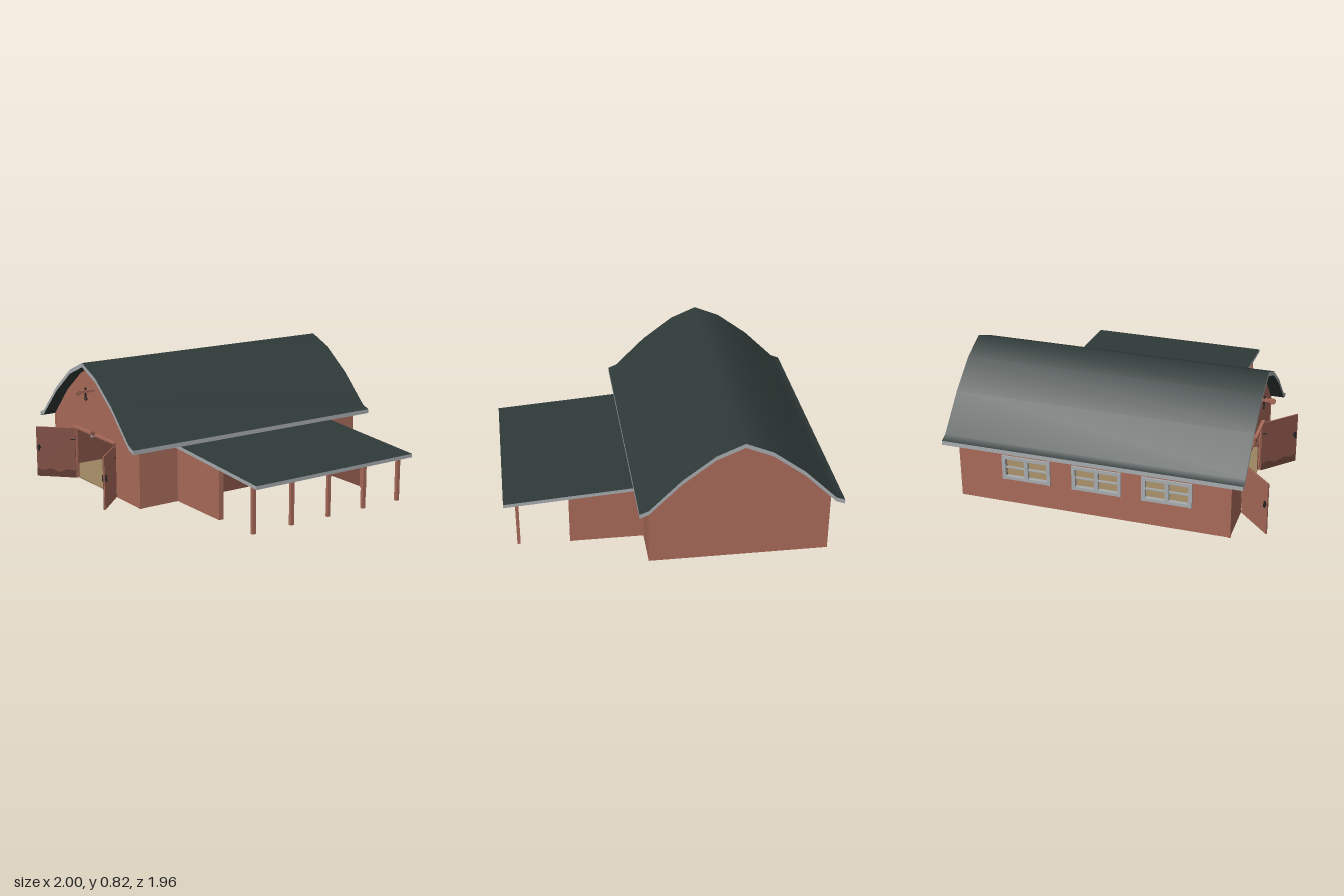
import * as THREE from 'three';

const mat = (name, color, side = THREE.FrontSide) => {
  const m = new THREE.MeshStandardMaterial({ color, side });
  m.name = name;
  return m;
};

export function createModel() {
  const paint = mat('red wall paint', 0xa86a59);
  const inside = mat('dark inner boards', 0x804f43);
  const roofMat = mat('dark roofing', 0x2f3a38, THREE.DoubleSide);
  const trim = mat('grey trim', 0xa6abae, THREE.DoubleSide);
  const straw = mat('straw floor', 0x9a8460);
  const dirt = mat('mud stain', 0x5e3b32, THREE.DoubleSide);
  const iron = mat('black iron', 0x242424);

  const model = new THREE.Group();
  model.name = 'barn';
  const CX = -0.387, FRONT = 0.78, BACK = -0.9, HALF = 0.545;
  const MIDZ = (FRONT + BACK) / 2, HALFZ = (FRONT - BACK) / 2;

  const add = (parent, name, geo, material, x = 0, y = 0, z = 0) => {
    const m = new THREE.Mesh(geo, material);
    m.name = name;
    m.position.set(x, y, z);
    parent.add(m);
    return m;
  };
  const box = (parent, name, material, w, h, d, x, y, z) =>
    add(parent, name, new THREE.BoxGeometry(w, h, d), material, x, y, z);
  const shapeOf = (pts) => new THREE.Shape(pts.map(([x, y]) => new THREE.Vector2(x, y)));

  // A wall facing local +z: painted outer skin and darker inner lining
  const wall = (name, pts, rotY, x, z, holes = []) => {
    const g = new THREE.Group();
    g.name = name;
    g.position.set(x, 0, z);
    g.rotation.y = rotY;
    const s = shapeOf(pts);
    holes.forEach((h) => s.holes.push(shapeOf(h)));
    const skin = (depth) => new THREE.ExtrudeGeometry(s, { depth, bevelEnabled: false });
    add(g, name + 'Outer', skin(0.01), paint, 0, 0, -0.01);
    add(g, name + 'Lining', skin(0.005), inside, 0, 0, -0.015).scale.x = 0.98;
    model.add(g);
    return g;
  };
  const rect = (x0, x1, y0, y1) => [[x0, y0], [x1, y0], [x1, y1], [x0, y1]];

  // Gable walls, the front one with a doorway
  const gableTop = [[HALF, 0], [HALF, 0.385], [0.36, 0.577], [0.165, 0.724], [0, 0.794],
    [-0.165, 0.724], [-0.36, 0.577], [-HALF, 0.385], [-HALF, 0]];
  const DOOR = 0.26;
  wall('frontGable', [...gableTop, [-DOOR, 0], [-DOOR, 0.345], [DOOR, 0.345], [DOOR, 0]], 0, CX, FRONT);
  wall('backGable', gableTop, Math.PI, CX, BACK);

  // Long side walls, with windows on the right-hand one
  const windows = [-0.41, 0.03, 0.46];
  const sideRect = rect(-HALFZ, HALFZ, 0, 0.385);
  const windowWall = wall('windowWall', sideRect, -Math.PI / 2, CX - HALF, MIDZ,
    windows.map((u) => rect(u - 0.14, u + 0.14, 0.175, 0.31)));
  wall('shedSideWall', sideRect, Math.PI / 2, CX + HALF, MIDZ);

  // Window frames and glazing bars
  windows.forEach((u) => {
    const g = new THREE.Group();
    g.name = 'window';
    g.position.set(u, 0.2425, 0);
    for (const s of [-1, 1]) {
      box(g, 'frameUpright', trim, 0.022, 0.16, 0.024, s * 0.141, 0, 0);
      box(g, 'frameRail', trim, 0.3, 0.02, 0.024, 0, s * 0.068, 0);
      box(g, 'glazingBar', trim, 0.126, 0.009, 0.012, s * 0.07, 0, -0.002);
    }
    box(g, 'centrePost', trim, 0.024, 0.13, 0.02, 0, 0, 0);
    windowWall.add(g);
  });

  box(model, 'floor', straw, 2 * HALF - 0.02, 0.008, 2 * HALFZ - 0.02, CX, 0.006, MIDZ);
  for (const s of [-1, 1]) {
    box(model, 'cornerBoard', paint, 0.018, 0.385, 0.018, CX + s * (HALF - 0.006), 0.1925, FRONT - 0.006);
  }

  // Roof slab: smooth top and underside, grey edges all round
  const roof = (name, pts, z0, z1, t) => {
    const g = new THREE.Group();
    g.name = name;
    const n = pts.length;
    const sheet = (list, drop) => {
      const geo = new THREE.PlaneGeometry(1, 1, n - 1, 1);
      const p = geo.attributes.position;
      for (let i = 0; i < p.count; i++) {
        const [x, y] = list[i % n];
        p.setXYZ(i, x, y - drop, i < n ? z0 : z1);
      }
      geo.computeVertexNormals();
      return geo;
    };
    const back = [...pts].reverse();
    add(g, name + 'Top', sheet(pts, 0), roofMat);
    add(g, name + 'Underside', sheet(back, t), roofMat);
    const edge = shapeOf([...pts, ...back.map(([x, y]) => [x, y - t])]);
    add(g, name + 'FrontEdge', new THREE.ShapeGeometry(edge), trim, 0, 0, z1);
    // turned about so that it faces backwards
    const rear = shapeOf([...pts, ...back.map(([x, y]) => [x, y - t])].map(([x, y]) => [-x, y]));
    add(g, name + 'BackEdge', new THREE.ShapeGeometry(rear), trim, 0, 0, z0).rotation.y = Math.PI;
    [[pts[0], -1], [pts[n - 1], 1]].forEach(([[x, y], s]) => {
      add(g, name + 'Eave', new THREE.PlaneGeometry(z1 - z0, t), trim, x, y - t / 2, (z0 + z1) / 2)
        .rotation.y = s * Math.PI / 2;
    });
    model.add(g);
  };
  const half = [[0.165, 0.752], [0.36, 0.605], [0.555, 0.412], [0.608, 0.392]];
  roof('mainRoof', [
    ...[...half].reverse().map(([x, y]) => [CX - x, y]), [CX, 0.822],
    ...half.map(([x, y]) => [CX + x, y]),
  ], -0.98, 0.86, 0.027);

  // Lean-to shed
  roof('shedRoof', [[0.16, 0.368], [1, 0.31]], -0.655, 0.525, 0.022);
  const endWall = (s) => [[-s * 0.225, 0], [s * 0.225, 0], [s * 0.225, 0.315], [-s * 0.225, 0.344]];
  wall('shedFrontWall', endWall(1), 0, 0.383, 0.51);
  wall('shedBackWall', endWall(-1), Math.PI, 0.383, -0.635);
  box(model, 'shedInnerBoards', inside, 0.006, 0.345, 1.12, CX + HALF + 0.003, 0.1725, -0.0625);
  box(model, 'shedBeam', paint, 0.024, 0.024, 1.13, 0.597, 0.304, -0.0625);
  for (const z of [0.495, -0.62]) {
    box(model, 'shedCornerPost', paint, 0.026, 0.31, 0.032, 0.596, 0.155, z);
  }
  for (let i = 0; i < 5; i++) {
    box(model, 'shedPost', paint, 0.02, 0.295, 0.024, 0.92, 0.1475, 0.487 - i * 0.275);
  }

  // Double doors, standing open
  for (const s of [-1, 1]) {
    const door = new THREE.Group();
    door.name = s > 0 ? 'leftDoor' : 'rightDoor';
    door.position.set(CX + s * DOOR, 0, FRONT + 0.006);
    door.rotation.y = -s * Math.PI / 4;
    box(door, 'doorOuterFace', paint, 0.265, 0.335, 0.005, s * 0.1325, 0.17, -0.0025);
    box(door, 'doorInnerFace', inside, 0.265, 0.335, 0.005, s * 0.1325, 0.17, 0.0025);
    const stain = [[0, 0.004], [0.264, 0.004], [0.264, 0.055], [0.22, 0.045], [0.17, 0.058],
      [0.11, 0.036], [0.06, 0.058], [0, 0.05]];
    add(door, 'mudStain', new THREE.ShapeGeometry(shapeOf(stain.map(([x, y]) => [s * x, y]))), dirt, 0, 0, 0.0065);
    box(door, 'doorHandle', iron, 0.01, 0.04, 0.03, s * 0.247, 0.197, 0);
    box(door, 'doorLatch', iron, 0.026, 0.014, 0.014, s * 0.247, 0.2, 0);
    box(door, 'hinge', iron, 0.03, 0.006, 0.014, s * 0.015, 0.262, 0);
    model.add(door);
  }
  box(model, 'doorHeader', paint, 2 * DOOR + 0.02, 0.012, 0.02, CX, 0.351, FRONT + 0.01);
  box(model, 'doorStop', inside, 0.035, 0.02, 0.012, CX, 0.358, FRONT + 0.018);

  // Hay hoist: beam, rope block and hook
  box(model, 'hoistBeam', paint, 0.014, 0.018, 0.12, CX, 0.638, FRONT + 0.06);
  add(model, 'hoistPulley', new THREE.CylinderGeometry(0.018, 0.018, 0.012, 10), paint, CX, 0.635, 0.892)
    .rotation.z = Math.PI / 2;
  box(model, 'hoistStrap', iron, 0.008, 0.06, 0.01, CX, 0.632, 0.84);
  add(model, 'hoistHook', new THREE.TorusGeometry(0.012, 0.004, 6, 12, Math.PI * 1.5), iron, CX, 0.594, 0.84)
    .rotation.z = Math.PI * 0.9;

  return model;
}
